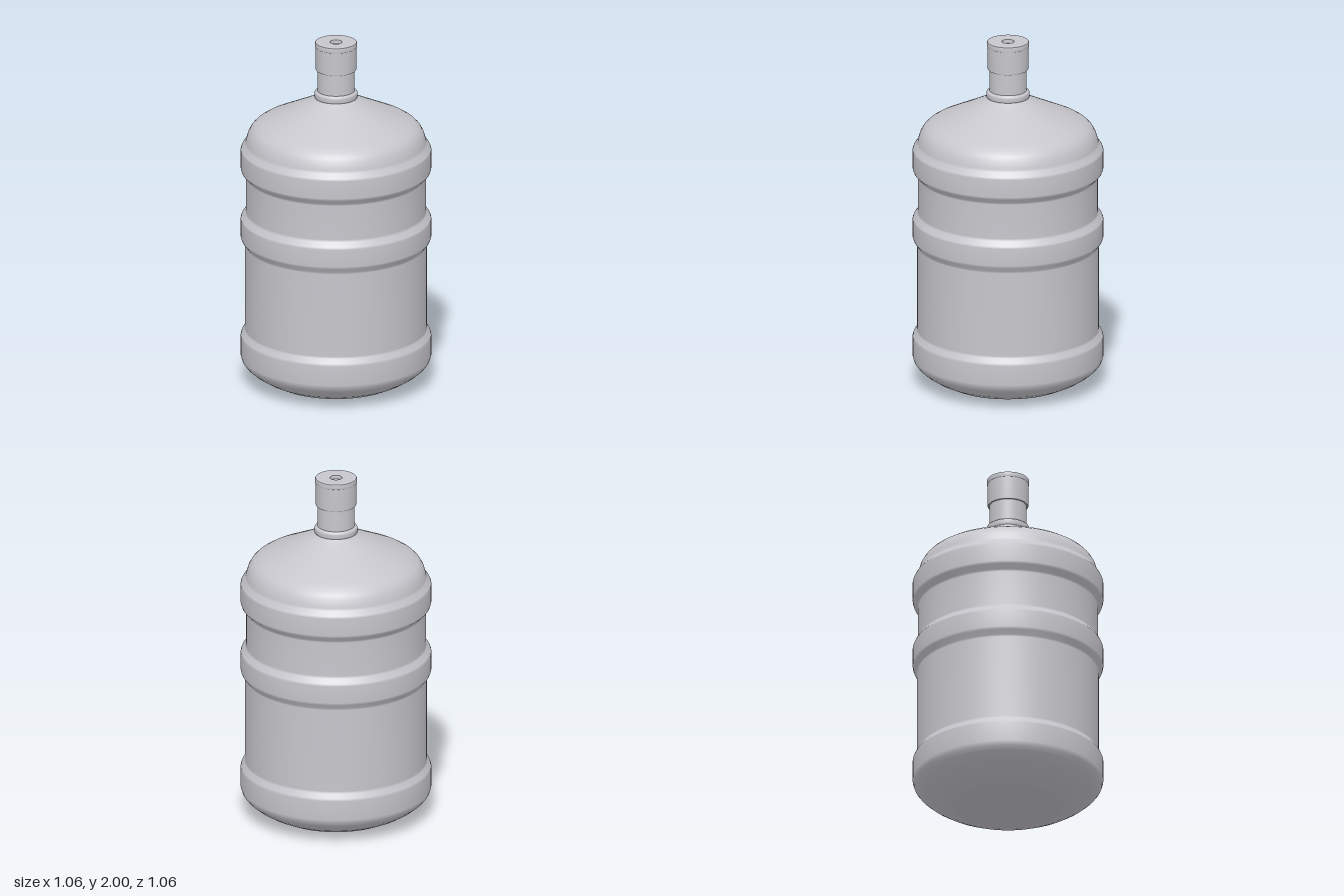
import * as THREE from 'three';

const plastic = new THREE.MeshStandardMaterial({ color: 0xc6c6cc });
plastic.name = 'greyPlastic';

// Revolve a profile of [radius, height] points, listed along the outside from bottom to top
function turned(name, profile) {
  const points = profile.map(([r, y]) => new THREE.Vector2(r, y));
  const mesh = new THREE.Mesh(new THREE.LatheGeometry(points, 96), plastic);
  mesh.name = name;
  return mesh;
}

// Raised hoop: sloped shoulders at both ends, slightly softened corners
function hoop(y0, y1, rBelow, rAbove) {
  const R = 0.53;
  return [
    [rBelow, y0 - 0.012], [rBelow + 0.002, y0], [R - 0.005, y0 + 0.025], [R, y0 + 0.04],
    [R, y1 - 0.04], [R - 0.005, y1 - 0.028], [rAbove + 0.004, y1 - 0.003], [rAbove, y1 + 0.01],
  ];
}

export function createModel() {
  const model = new THREE.Group();
  model.name = 'waterBottle';

  // Flat base, rounded underside and lowest hoop
  const base = [
    [0, 0], [0.29, 0], [0.305, 0.003], [0.36, 0.021], [0.425, 0.053], [0.47, 0.082],
    [0.505, 0.112], [0.522, 0.135], [0.53, 0.16], [0.53, 0.272], [0.525, 0.286],
    [0.508, 0.31], [0.505, 0.322],
  ];

  // Domed shoulder rising to the neck
  const shoulder = [
    [0.499, 1.425], [0.49, 1.455], [0.475, 1.482], [0.455, 1.503], [0.42, 1.525],
    [0.37, 1.549], [0.25, 1.606], [0.17, 1.645], [0.135, 1.663], [0.118, 1.676],
  ];

  model.add(turned('bottleBody', [
    ...base,
    ...hoop(0.82, 1.0, 0.505, 0.5),
    ...hoop(1.222, 1.405, 0.5, 0.501),
    ...shoulder,
  ]));

  // Collar ring and neck
  model.add(turned('neckCollar', [
    [0.116, 1.675], [0.12, 1.681], [0.12, 1.702], [0.117, 1.709], [0.108, 1.715], [0.1, 1.717],
  ]));
  model.add(turned('neck', [[0.104, 1.7], [0.103, 1.85]]));

  // Cap with a thin top rim and a round dimple
  model.add(turned('capUnderside', [[0.098, 1.838], [0.11, 1.838]]));
  model.add(turned('capSkirt', [[0.11, 1.838], [0.113, 1.842], [0.114, 1.972]]));
  model.add(turned('capRim', [[0.114, 1.972], [0.117, 1.975], [0.117, 1.996], [0.114, 2]]));
  model.add(turned('capTop', [[0.114, 2], [0.034, 2]]));
  model.add(turned('capDimpleWall', [[0.034, 2], [0.032, 1.98]]));
  model.add(turned('capDimpleFloor', [[0.032, 1.98], [0, 1.98]]));

  return model;
}
